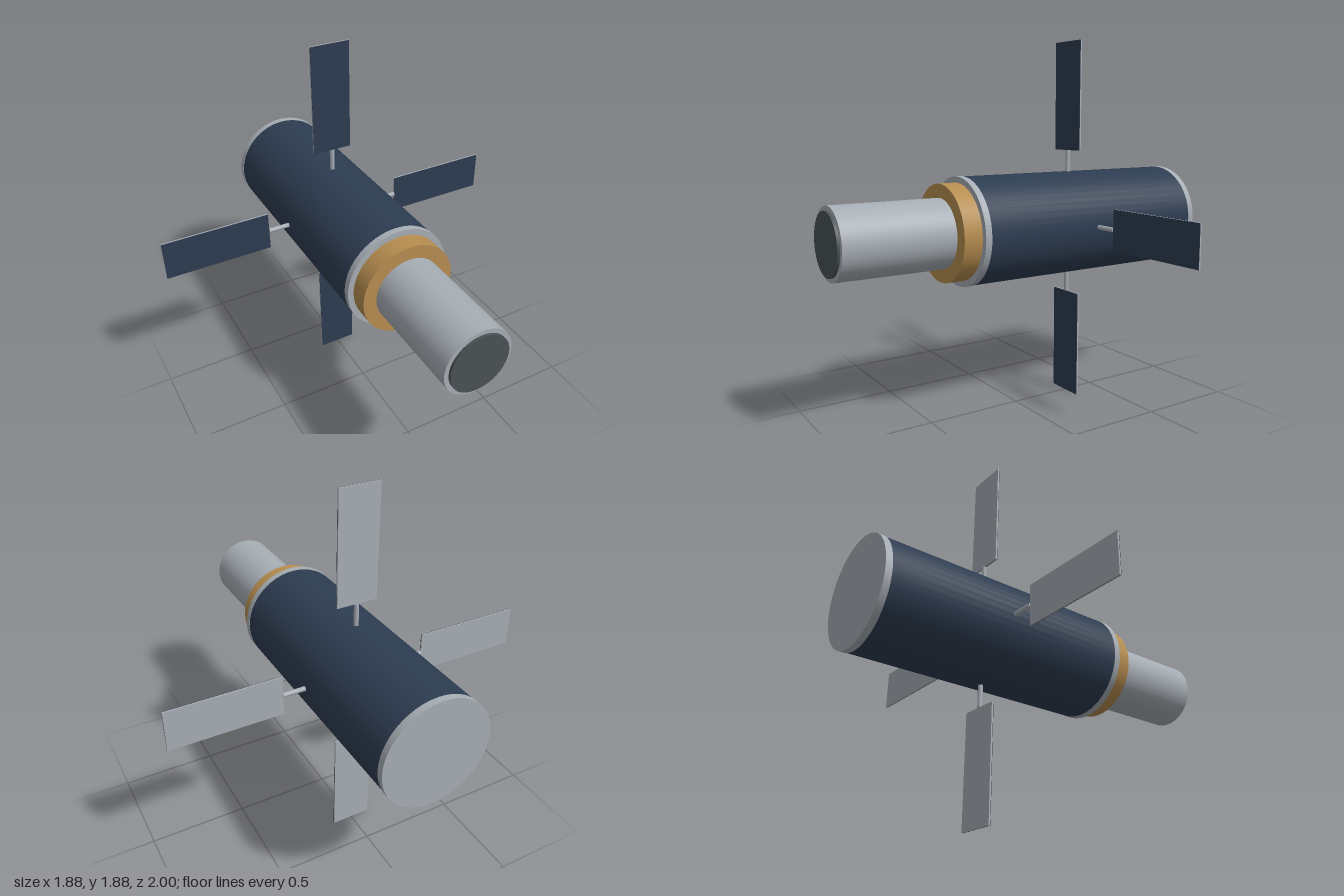
import * as THREE from 'three';

const material = (name, color) => {
  const m = new THREE.MeshStandardMaterial({ color });
  m.name = name;
  return m;
};

export function createModel() {
  const silver = material('silver', 0xa6adb4);
  const navy = material('navy', 0x2d3c51);
  const gold = material('gold', 0xb68d4f);
  const glass = material('dark glass', 0x4a5254);

  const model = new THREE.Group();
  model.name = 'spaceStation';
  const axisY = 0.94;

  // Hull sections: cylinders lying along z
  const section = (name, radius, z0, z1, mat) => {
    const geo = new THREE.CylinderGeometry(radius, radius, z1 - z0, 48).rotateX(Math.PI / 2);
    const mesh = new THREE.Mesh(geo, mat);
    mesh.name = name;
    mesh.position.set(0, axisY, (z0 + z1) / 2);
    model.add(mesh);
  };
  section('rearCollar', 0.27, -1, -0.967, silver);
  section('mainHull', 0.268, -0.967, 0.308, navy);
  section('frontCollar', 0.27, 0.308, 0.341, silver);
  section('goldRing', 0.24, 0.341, 0.436, gold);
  section('dockingTube', 0.172, 0.436, 0.987, silver);
  section('hatchWindow', 0.15, 0.987, 1, glass);

  // Four solar wings, each a strut, a backing panel and a thin cell plate
  for (let i = 0; i < 4; i++) {
    const wing = new THREE.Group();
    wing.name = 'solarWing';
    wing.position.set(0, axisY, -0.329);
    wing.rotation.z = i * Math.PI / 2;

    const strut = new THREE.Mesh(new THREE.CylinderGeometry(0.012, 0.012, 0.16, 12), silver);
    strut.name = 'wingStrut';
    strut.position.y = 0.3;

    const panel = new THREE.Mesh(new THREE.BoxGeometry(0.206, 0.56, 0.008), silver);
    panel.name = 'panelBacking';
    panel.position.set(0, 0.66, -0.001);

    const cells = new THREE.Mesh(new THREE.BoxGeometry(0.206, 0.56, 0.002), navy);
    cells.name = 'solarCells';
    cells.position.set(0, 0.66, 0.004);

    wing.add(strut, panel, cells);
    model.add(wing);
  }
  return model;
}
